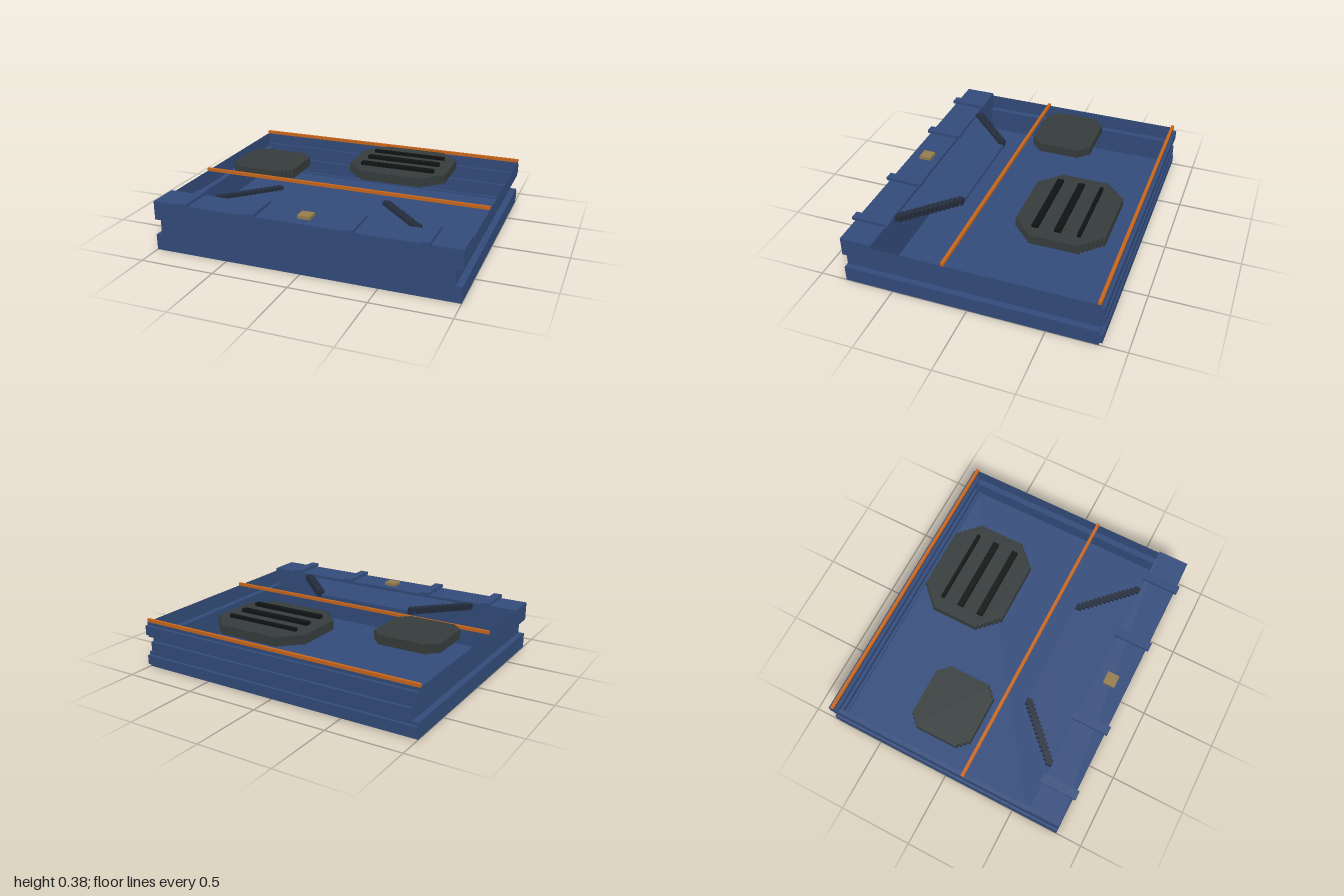
import * as THREE from 'three';

// Everything sits on a small cubic grid
const U = 1 / 48;

const mat = (name, color, side = THREE.FrontSide) => {
  const m = new THREE.MeshStandardMaterial({ color, side });
  m.name = name;
  return m;
};

export function createModel() {
  const model = new THREE.Group();
  model.name = 'openTray';
  const blue = mat('navyBlue', 0x334c7b, THREE.DoubleSide);
  const grey = mat('charcoalGrey', 0x363d3c);
  const black = mat('black', 0x101313);
  const orange = mat('orange', 0xc8661c);
  const brass = mat('brass', 0x957d4a);
  const slate = mat('darkSlate', 0x242d3d);

  const add = (name, geometry, material, parent = model) => {
    const mesh = new THREE.Mesh(geometry, material);
    mesh.name = name;
    parent.add(mesh);
    return mesh;
  };
  const group = (name) => {
    const g = new THREE.Group();
    g.name = name;
    model.add(g);
    return g;
  };
  // Box given by its lower and upper limits on each axis
  const box = (name, [x0, x1], [y0, y1], [z0, z1], material, parent) => {
    const g = new THREE.BoxGeometry(x1 - x0, y1 - y0, z1 - z0);
    g.translate((x0 + x1) / 2, (y0 + y1) / 2, (z0 + z1) / 2);
    return add(name, g, material, parent);
  };

  const front = 39.5 * U, back = -39.5 * U, ledge = 29.5 * U;
  const rim = 15 * U, top = 16 * U, inset = 1 - 2 * U;

  // Floor
  box('floor', [-1, 1], [0, 0.01], [back, ledge], blue);

  // Side walls: folded sheets with a long outer groove
  const fold = [[1, 0], [1, 5 * U], [inset, 5 * U], [inset, 10 * U], [1, 10 * U], [1, rim]];
  for (const s of [1, -1]) {
    const wall = group(s > 0 ? 'leftWall' : 'rightWall');
    for (let i = 0; i < fold.length - 1; i++) {
      const [xa, ya] = fold[i], [xb, yb] = fold[i + 1];
      const g = new THREE.PlaneGeometry(ledge - back, Math.hypot(xb - xa, yb - ya));
      if (xa === xb) g.rotateY(s * Math.PI / 2);
      else g.rotateX(xb > xa ? Math.PI / 2 : -Math.PI / 2).rotateY(Math.PI / 2);
      g.translate(s * (xa + xb) / 2, (ya + yb) / 2, (ledge + back) / 2);
      add('wallPanel', g, blue, wall);
    }
  }

  // Corrugated back wall, narrower where the side grooves run through
  const backWall = group('backWall');
  const rows = [[0, 1, 0], [1, 4, 1], [4, 5, 0], [5, 6, 0], [6, 9, 1], [9, 10, 0], [10, 11, 0], [11, 14, 1], [14, 15, 0]];
  for (const [a, b, ridge] of rows) {
    const w = a >= 5 && b <= 10 ? inset : 1;
    const z = back - ridge * U;
    box(ridge ? 'ridge' : 'recess', [-w, w], [a * U, b * U], [z, z + U], blue, backWall);
  }

  // Front block with the same side grooves
  const frontBlock = group('frontBlock');
  for (const [a, b, w] of [[0, 5, 1], [5, 10, inset], [10, 16, 1]]) {
    box('frontSection', [-w, w], [a * U, b * U], [ledge, front], blue, frontBlock);
  }

  // Straps over the front ledge and a small latch
  for (const x of [-0.78, -0.32, 0.32, 0.78]) {
    box('strap', [x - 0.03, x + 0.03], [top, 17 * U], [ledge - U, front + U], blue);
  }
  box('latch', [-2 * U, 2 * U], [top, 17 * U], [0.67, 0.75], brass);

  // Orange cross bars
  box('rearBar', [-1, 1], [rim, top], [back, back + U], orange);
  box('middleBar', [-1, 1], [rim, top], [0.135, 0.156], orange);

  // Trapezoid panel with stepped struts along its slanted edges
  const panel = new THREE.Shape([[-0.38, 0.28], [0.38, 0.28], [0.67, ledge], [-0.67, ledge]]
    .map(([x, z]) => new THREE.Vector2(x, -z)));
  const panelGeo = new THREE.ExtrudeGeometry(panel, { depth: U, bevelEnabled: false });
  panelGeo.rotateX(-Math.PI / 2).translate(0, 14 * U, 0);
  add('frontPanel', panelGeo, blue);
  for (const s of [1, -1]) {
    const strut = group(s > 0 ? 'leftStrut' : 'rightStrut');
    for (let i = 0; i < 15; i++) {
      const x = s * (0.373 + i * U), z = 0.3 + i * U;
      box('strutStep', [x - U, x + U], [14 * U, top], [z - U, z + U], slate, strut);
    }
  }

  // Pads: rectangles whose corners are cut in small steps
  const pad = (name, [x0, x1], [z0, z1], steps) => {
    const cx = (x0 + x1) / 2, cz = (z0 + z1) / 2, hx = (x1 - x0) / 2, hz = (z1 - z0) / 2;
    const corner = [];
    for (let i = 0; i <= steps; i++) {
      corner.push([hx - i * U, hz - (steps - i) * U]);
      if (i < steps) corner.push([hx - (i + 1) * U, hz - (steps - i) * U]);
    }
    const rev = [...corner].reverse();
    const pts = [
      ...corner,
      ...rev.map(([x, y]) => [-x, y]),
      ...corner.map(([x, y]) => [-x, -y]),
      ...rev.map(([x, y]) => [x, -y]),
    ].map(([x, y]) => new THREE.Vector2(x, y));
    const g = new THREE.ExtrudeGeometry(new THREE.Shape(pts), { depth: 3 * U, bevelEnabled: false });
    g.rotateX(-Math.PI / 2).translate(cx, 14 * U, cz);
    add(name, g, grey);
  };
  pad('smallPad', [-0.854, -0.4], [-0.33, 0.09], 3);
  pad('largePad', [-0.085, 0.602], [-0.7, -0.12], 6);

  // Slats on the large pad
  for (const [a, b] of [[-0.285, -0.244], [-0.43, -0.388], [-0.556, -0.533]]) {
    box('slat', [0, 25 * U], [17 * U, 18 * U], [a, b], black);
  }

  return model;
}
